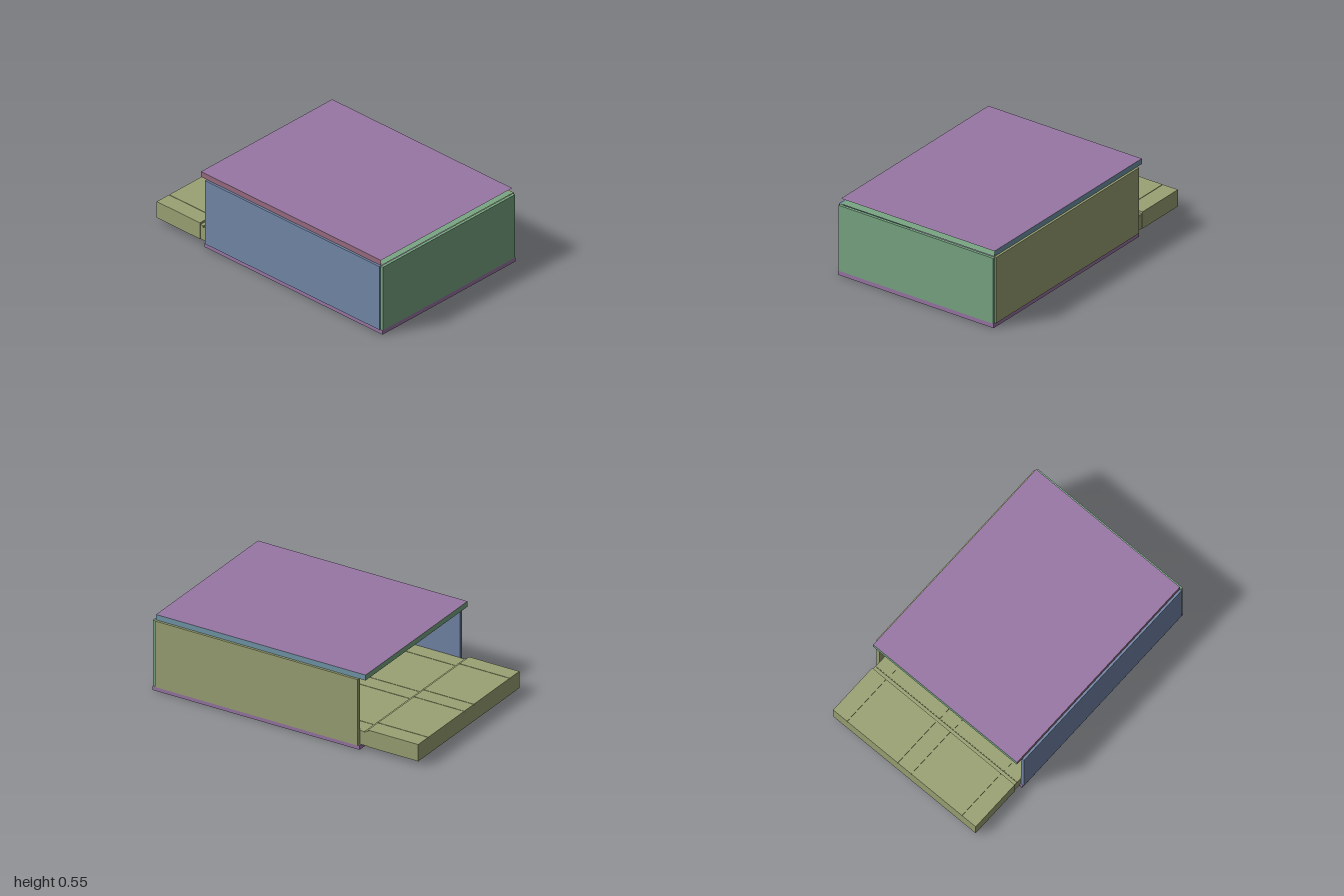
import * as THREE from 'three';

const mat = (name, color, side = THREE.FrontSide) => {
  const m = new THREE.MeshStandardMaterial({ color, side });
  m.name = name;
  return m;
};

export function createModel() {
  const group = new THREE.Group();
  const purple = mat('purple', 0x9876a4, THREE.DoubleSide);
  const green = mat('green', 0x78a682);
  const openGreen = mat('frame green', 0x78a682, THREE.DoubleSide);
  const olive = mat('olive', 0x9aa273);
  const slate = mat('slate blue', 0x7286a8, THREE.DoubleSide);
  const teal = mat('teal', 0x7297a9);
  const rose = mat('rose', 0x966a7e);

  const add = (name, geo, material) => {
    const mesh = new THREE.Mesh(geo, material);
    mesh.name = name;
    group.add(mesh);
    return mesh;
  };
  // Box given by its minimum and maximum on each axis
  const box = (name, material, x0, x1, y0, y1, z0, z1) => {
    const mesh = add(name, new THREE.BoxGeometry(x1 - x0, y1 - y0, z1 - z0), material);
    mesh.position.set((x0 + x1) / 2, (y0 + y1) / 2, (z0 + z1) / 2);
    return mesh;
  };
  // Flat sheet turned to face a direction
  const sheet = (name, material, w, h, pos, rx, ry) => {
    const mesh = add(name, new THREE.PlaneGeometry(w, h), material);
    mesh.position.set(...pos);
    mesh.rotation.set(rx, ry, 0);
    return mesh;
  };

  // Case: floor, front and side panels, open at the back
  box('floor', purple, -0.618, 0.618, 0, 0.03, -0.565, 1);
  box('frontPanel', green, -0.615, 0.615, 0.03, 0.503, 0.98, 1);
  box('leftPanel', olive, 0.6, 0.625, 0.03, 0.505, -0.555, 0.98);
  box('rightPanel', slate, -0.625, -0.6, 0.03, 0.505, -0.555, 0.98);

  // Lid: top sheet with side and back edges, open at the front
  const [lidLow, lidTop, lidBack, lidFront] = [0.506, 0.545, -0.605, 0.98];
  const lidH = lidTop - lidLow, lidL = lidFront - lidBack;
  const lidY = (lidLow + lidTop) / 2, lidZ = (lidBack + lidFront) / 2;
  sheet('lidTop', purple, 1.22, lidL, [0, lidTop, lidZ], -Math.PI / 2, 0);
  sheet('lidLeftEdge', teal, lidL, lidH, [0.61, lidY, lidZ], 0, Math.PI / 2);
  sheet('lidRightEdge', rose, lidL, lidH, [-0.61, lidY, lidZ], 0, -Math.PI / 2);
  sheet('lidBackEdge', green, 1.22, lidH, [0, lidY, lidBack], 0, Math.PI);

  // Frame under the lid with a round-cornered opening
  const frame = new THREE.Shape();
  frame.moveTo(-0.61, -lidL / 2).lineTo(0.61, -lidL / 2);
  frame.lineTo(0.61, lidL / 2).lineTo(-0.61, lidL / 2).closePath();
  const hole = new THREE.Path();
  const hx = 0.53, hz = lidL / 2 - 0.08, r = 0.14;
  hole.absarc(hx - r, hz - r, r, 0, Math.PI / 2);
  hole.absarc(-hx + r, hz - r, r, Math.PI / 2, Math.PI);
  hole.absarc(-hx + r, -hz + r, r, Math.PI, Math.PI * 1.5);
  hole.absarc(hx - r, -hz + r, r, Math.PI * 1.5, Math.PI * 2);
  frame.holes.push(hole);
  const rim = add('lidFrame', new THREE.ShapeGeometry(frame, 8), openGreen);
  rim.rotation.x = -Math.PI / 2;
  rim.position.set(0, lidLow, lidZ);

  // Round collar beneath the lid
  const collar = [[0.275, 0.49], [0.268, 0.503], [0.26, 0.513], [0.257, 0.528]];
  const ring = add('collar', new THREE.LatheGeometry(
    collar.map(([x, y]) => new THREE.Vector2(x, y)), 48), slate);
  ring.position.z = -0.05;

  // Drawer: stepped slab sliding out of the back
  box('drawerBase', olive, -0.605, 0.605, 0.031, 0.145, -1, -0.62);
  box('drawerStep', olive, -0.6, 0.6, 0.031, 0.137, -0.62, -0.595);
  box('drawerInner', olive, -0.6, 0.6, 0.031, 0.126, -0.595, 0.12);

  // Top boards separated by narrow grooves
  const cuts = [-0.605, -0.49, -0.06, 0.055, 0.485, 0.605];
  for (let i = 0; i < cuts.length - 1; i++) {
    box('drawerBoard', olive, cuts[i] + (i ? 0.002 : 0),
      cuts[i + 1] - (i < 4 ? 0.002 : 0), 0.145, 0.152, -1, -0.62);
    box('innerBoard', olive, Math.max(cuts[i] + 0.002, -0.6),
      Math.min(cuts[i + 1] - 0.002, 0.6), 0.126, 0.13, -0.59, 0.12);
  }
  return group;
}
